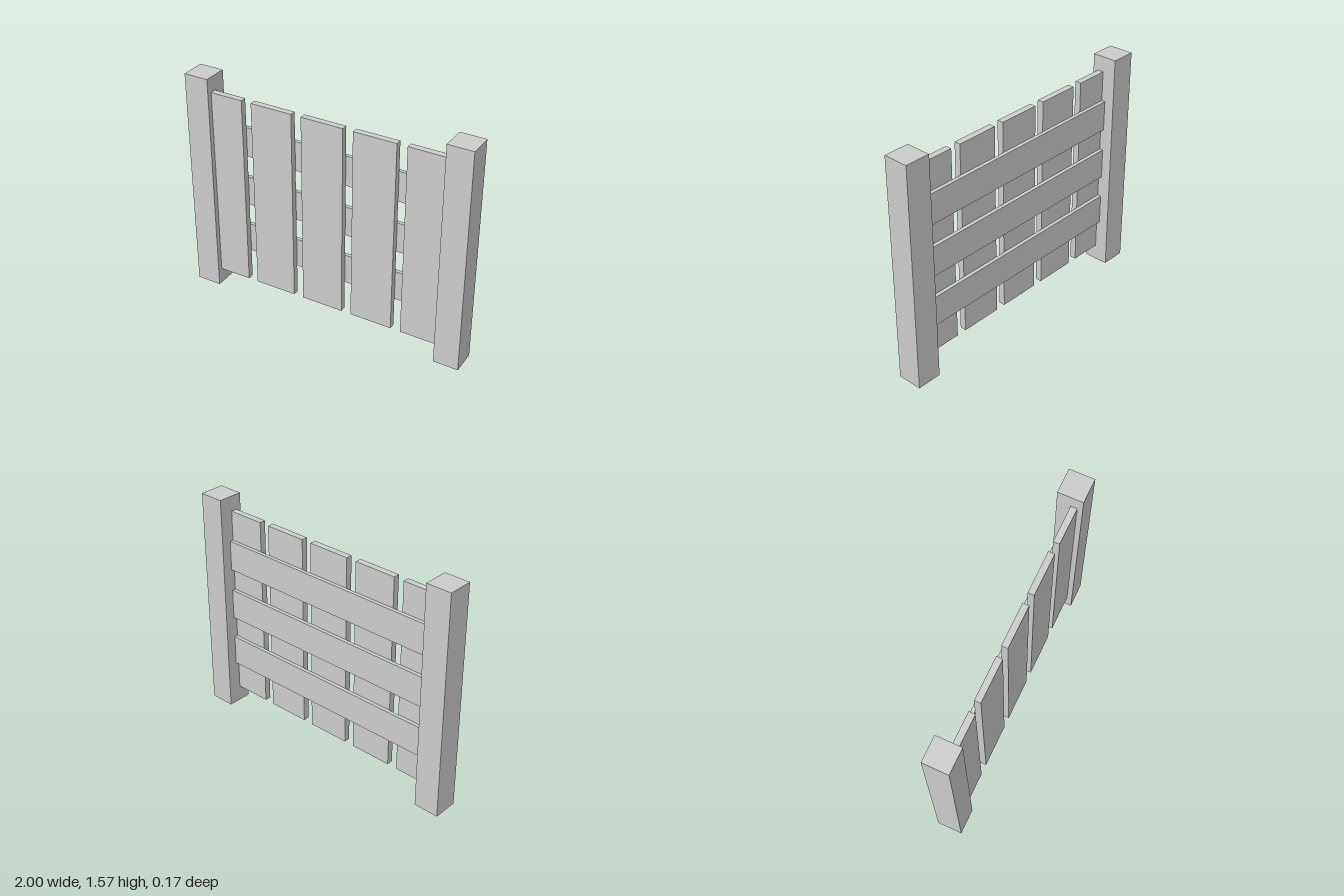
import * as THREE from 'three';

export function createModel() {
  const group = new THREE.Group();
  const material = new THREE.MeshStandardMaterial({ color: 0xcccccc, flatShading: true });

  const board = (name, w, h, d, x, y, z) => {
    const mesh = new THREE.Mesh(new THREE.BoxGeometry(w, h, d), material);
    mesh.name = name;
    mesh.position.set(x, y, z);
    group.add(mesh);
  };

  // Square end posts
  board('leftPost', 0.173, 1.57, 0.172, 0.9135, 0.785, 0);
  board('rightPost', 0.173, 1.57, 0.172, -0.9135, 0.785, 0);

  // Upright slats on the front; the outer ones run into the posts
  for (let i = 0; i < 5; i++) {
    board(`slat${i + 1}`, 0.295, 1.354, 0.043, -0.745 + i * 0.365, 0.788, 0.0285);
  }

  // Horizontal rails behind the slats, let into the posts
  for (let i = 0; i < 3; i++) {
    board(`rail${i + 1}`, 1.76, 0.21, 0.025, 0, 0.425 + i * 0.364, -0.0055);
  }

  return group;
}
